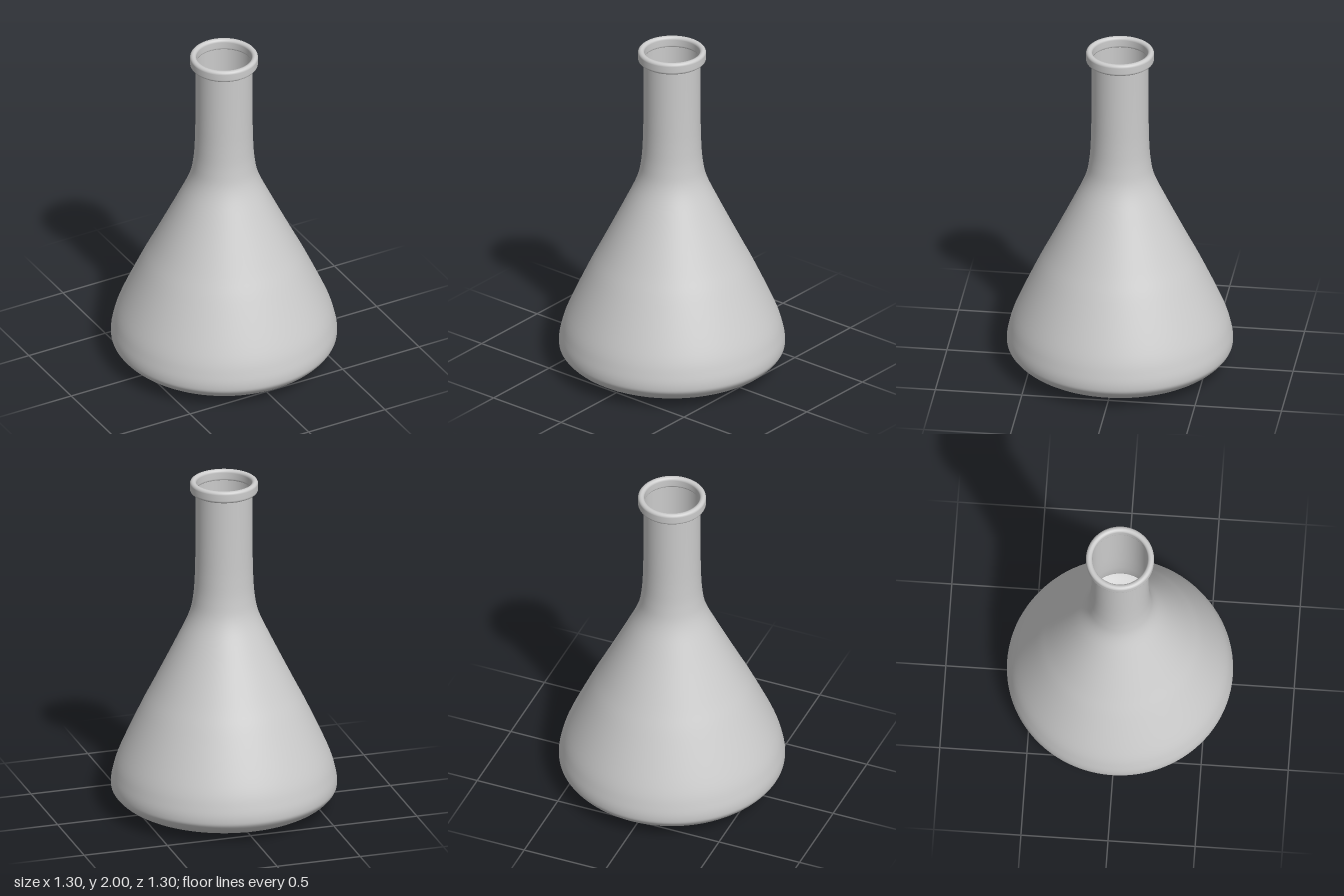
import * as THREE from 'three';

const SEGMENTS = 96;

function lathe(name, points, material) {
  const mesh = new THREE.Mesh(new THREE.LatheGeometry(points, SEGMENTS), material);
  mesh.name = name;
  return mesh;
}

export function createModel() {
  const group = new THREE.Group();
  group.name = 'conicalFlask';
  const glass = new THREE.MeshStandardMaterial({ color: 0xcccccc, side: THREE.DoubleSide });

  // Thin wall: rounded base edge, conical body, shoulder and straight neck
  const wall = new THREE.SplineCurve([
    [0.3, 0], [0.42, 0.012], [0.52, 0.033], [0.59, 0.065], [0.637, 0.11],
    [0.648, 0.15], [0.638, 0.22], [0.6, 0.34], [0.48, 0.605], [0.4, 0.765],
    [0.27, 1.03], [0.2, 1.185], [0.176, 1.3], [0.167, 1.43], [0.164, 1.6], [0.163, 1.95],
  ].map(([r, y]) => new THREE.Vector2(r, y)));
  const profile = [new THREE.Vector2(0, 0), ...wall.getPoints(75)];
  group.add(lathe('body', profile, glass));

  // Rounded rim: a closed rounded-rectangle section turned around the neck
  const inner = 0.159, outer = 0.195, bottom = 1.93, top = 2, c = 0.0175;
  const rim = [];
  const corners = [
    [outer - c, bottom + c, -90], [outer - c, top - c, 0],
    [inner + c, top - c, 90], [inner + c, bottom + c, 180],
  ];
  for (const [r, y, start] of corners) {
    for (let i = 0; i <= 6; i++) {
      const a = THREE.MathUtils.degToRad(start + i * 15);
      rim.push(new THREE.Vector2(r + c * Math.cos(a), y + c * Math.sin(a)));
    }
  }
  rim.push(rim[0].clone());
  group.add(lathe('rim', rim, glass));

  return group;
}
